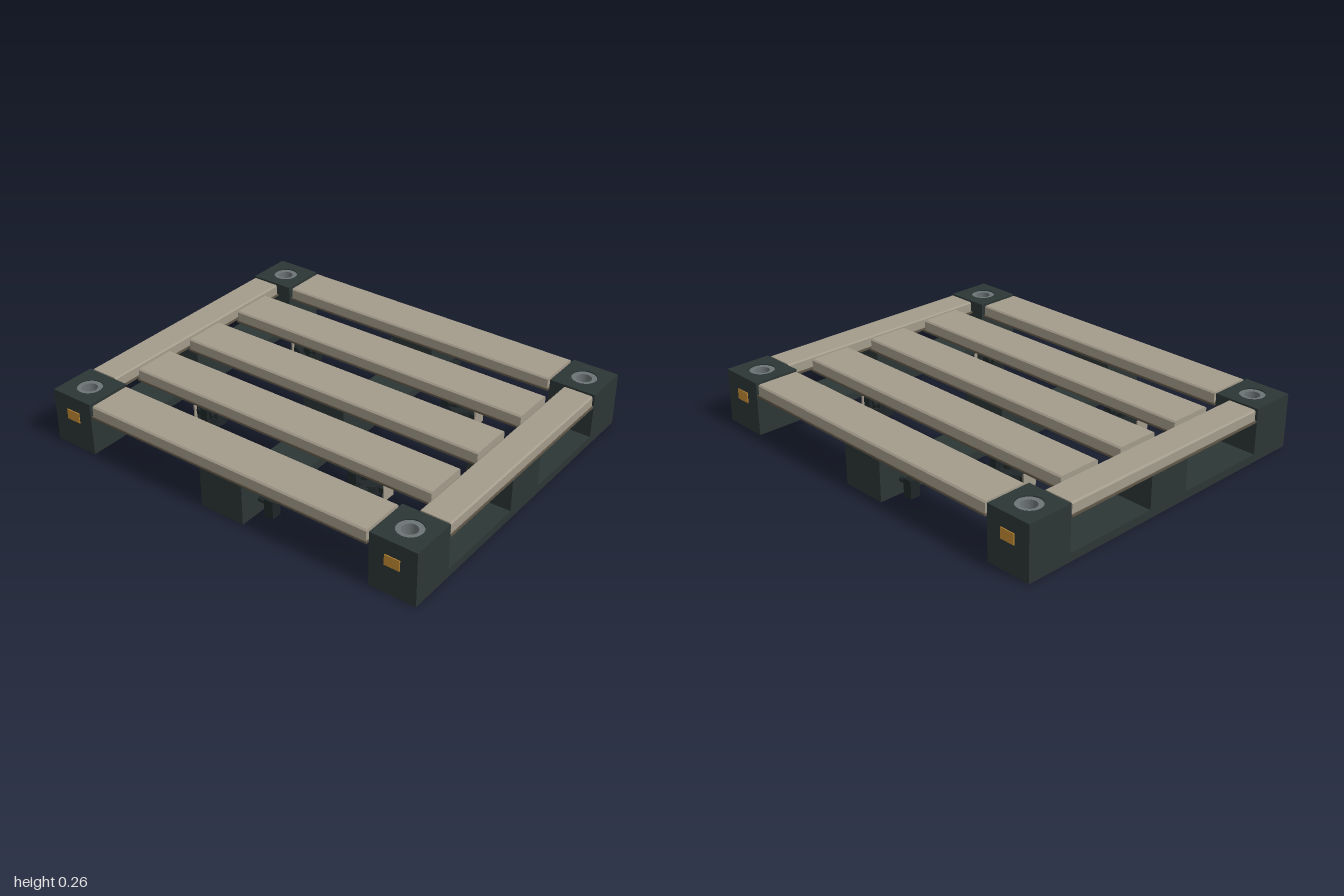
import * as THREE from 'three';

const mat = (name, color) => Object.assign(new THREE.MeshStandardMaterial({ color }), { name });

export function createModel() {
  const dark = mat('dark composite', 0x2c3635);
  const beige = mat('beige board', 0xa39b8b);
  const brown = mat('brown edging', 0x5e5647);
  const amber = mat('amber plate', 0xc08a34);
  const grey = mat('grey metal', 0x6b7374);
  const black = mat('black mechanism', 0x1f2627);

  const model = new THREE.Group();
  model.name = 'pallet';

  const add = (parent, name, geo, material, x, y, z) => {
    const mesh = new THREE.Mesh(geo, material);
    mesh.name = name;
    mesh.position.set(x, y, z);
    parent.add(mesh);
    return mesh;
  };
  // box given by its limits on each axis
  const box = (parent, name, material, x0, x1, y0, y1, z0, z1) =>
    add(parent, name, new THREE.BoxGeometry(Math.abs(x1 - x0), y1 - y0, Math.abs(z1 - z0)), material,
      (x0 + x1) / 2, (y0 + y1) / 2, (z0 + z1) / 2);
  const cyl = (parent, name, material, r, h, axis, x, y, z, sides = 16) => {
    const geo = new THREE.CylinderGeometry(r, r, h, sides);
    if (axis === 'x') geo.rotateZ(Math.PI / 2);
    if (axis === 'z') geo.rotateX(Math.PI / 2);
    return add(parent, name, geo, material, x, y, z);
  };

  // chamfered board with a thin darker lip along its lower edge
  function board(name, length, width, x, z, turned) {
    const g = new THREE.Group();
    g.name = name;
    const h = width / 2 - 0.005, c = 0.007, y0 = 0.203, y1 = 0.262;
    const profile = new THREE.Shape([[-h, y0], [h, y0], [h, y1 - c], [h - c, y1], [-h + c, y1], [-h, y1 - c]]
      .map(p => new THREE.Vector2(...p)));
    const geo = new THREE.ExtrudeGeometry(profile, { depth: length - 0.01, bevelEnabled: false });
    geo.translate(0, 0, -(length - 0.01) / 2).rotateY(Math.PI / 2);
    add(g, name + 'Body', geo, beige, 0, 0, 0);
    for (const s of [-1, 1]) {
      box(g, name + 'Lip', brown, -length / 2, length / 2, 0.2, 0.21, s * (h - 0.002), s * (h + 0.006));
      box(g, name + 'EndLip', brown, s * (length / 2 - 0.008), s * length / 2, 0.2, 0.21, -h, h);
    }
    g.position.set(x, 0, z);
    if (turned) g.rotation.y = Math.PI / 2;
    model.add(g);
  }

  // deck boards
  for (const z of [-0.36, 0, 0.355]) board('deckSlat', 1.65, 0.23, 0, z);
  for (const s of [-1, 1]) {
    board('endBoard', 1.52, 0.23, 0, s * 0.717);
    board('sideRail', 1.19, 0.16, s * 0.92, 0, true);
  }

  // runners with their middle blocks
  for (const x of [-0.885, 0, 0.885]) {
    box(model, 'runner', dark, x - 0.115, x + 0.115, 0, 0.04, -0.83, 0.83);
    box(model, 'middleBlock', dark, x - 0.115, x + 0.115, 0.04, 0.203, -0.115, 0.115);
  }

  // cap of a corner post, with a round socket
  const capShape = new THREE.Shape([[-1, -1], [1, -1], [1, 1], [-1, 1]]
    .map(([a, b]) => new THREE.Vector2(a * 0.115, b * 0.115)));
  capShape.holes.push(new THREE.Path().absarc(0, 0, 0.06, 0, Math.PI * 2, true));
  const capGeo = new THREE.ExtrudeGeometry(capShape, { depth: 0.065, bevelEnabled: false, curveSegments: 16 });
  capGeo.rotateX(-Math.PI / 2);
  const ringShape = new THREE.Shape().absarc(0, 0, 0.06, 0, Math.PI * 2, false);
  ringShape.holes.push(new THREE.Path().absarc(0, 0, 0.036, 0, Math.PI * 2, true));
  const ringGeo = new THREE.ExtrudeGeometry(ringShape, { depth: 0.06, bevelEnabled: false, curveSegments: 16 });
  ringGeo.rotateX(-Math.PI / 2);

  for (const sz of [-1, 1]) {
    // end block of the centre runner
    box(model, 'centreEndBlock', dark, -0.115, 0.115, 0.04, 0.203, sz * 0.605, sz * 0.83);

    for (const sx of [-1, 1]) {
      // corner post, socket ring and marker plate
      const x = sx * 0.885, z = sz * 0.715;
      box(model, 'cornerPost', dark, sx * 0.77, sx, 0.04, 0.2, sz * 0.6, sz * 0.83);
      add(model, 'cornerCap', capGeo, dark, x, 0.2, z);
      add(model, 'socketRing', ringGeo, grey, x, 0.2, z);
      box(model, 'markerPlate', amber, sx * 0.845, sx * 0.92, 0.14, 0.192, sz * 0.826, sz * 0.834);

      // small foot beside the centre runner, held by a pin
      box(model, 'sideFoot', black, sx * 0.16, sx * 0.207, 0.015, 0.1, sz * 0.69, sz * 0.74);
      cyl(model, 'footPin', black, 0.012, 0.06, 'x', sx * 0.14, 0.07, sz * 0.715, 10);

      // mechanism hung under the outer slats
      const m = new THREE.Group();
      m.name = 'hangingUnit';
      m.position.set(0, 0, sz * 0.365);
      model.add(m);
      box(m, 'mountPlate', grey, sx * 0.3, sx * 0.5, 0.192, 0.203, -0.04, 0.04);
      box(m, 'mountArm', black, sx * 0.34, sx * 0.54, 0.165, 0.185, -0.03, 0.03);
      box(m, 'upperBody', black, sx * 0.37, sx * 0.43, 0.14, 0.192, -0.065, 0.065);
      cyl(m, 'crossShaft', black, 0.022, 0.17, 'z', sx * 0.405, 0.16, 0, 12);
      box(m, 'outerBracket', black, sx * 0.4, sx * 0.44, 0.09, 0.19, sz * 0.08, sz * 0.1);
      box(m, 'endStrut', black, sx * 0.53, sx * 0.536, 0.06, 0.19, -0.02, 0.02);
      box(m, 'endPlate', beige, sx * 0.536, sx * 0.543, 0.055, 0.135, -0.036, 0.036);
      cyl(m, 'neck', black, 0.03, 0.04, 'y', sx * 0.42, 0.13, 0, 12);
      cyl(m, 'drum', black, 0.062, 0.045, 'y', sx * 0.45, 0.095, 0, 20);
      cyl(m, 'drumFace', brown, 0.036, 0.006, 'y', sx * 0.45, 0.071, 0, 20);
      box(m, 'drumArm', black, sx * 0.45, sx * 0.535, 0.085, 0.11, -0.025, 0.025);
      for (const s of [-1, 1]) {
        cyl(m, 'sideRoller', black, 0.028, 0.04, 'z', sx * 0.45, 0.094, s * 0.07, 12);
        cyl(m, 'rollerCap', grey, 0.012, 0.006, 'z', sx * 0.45, 0.094, s * 0.091, 10);
      }
    }
  }
  return model;
}
